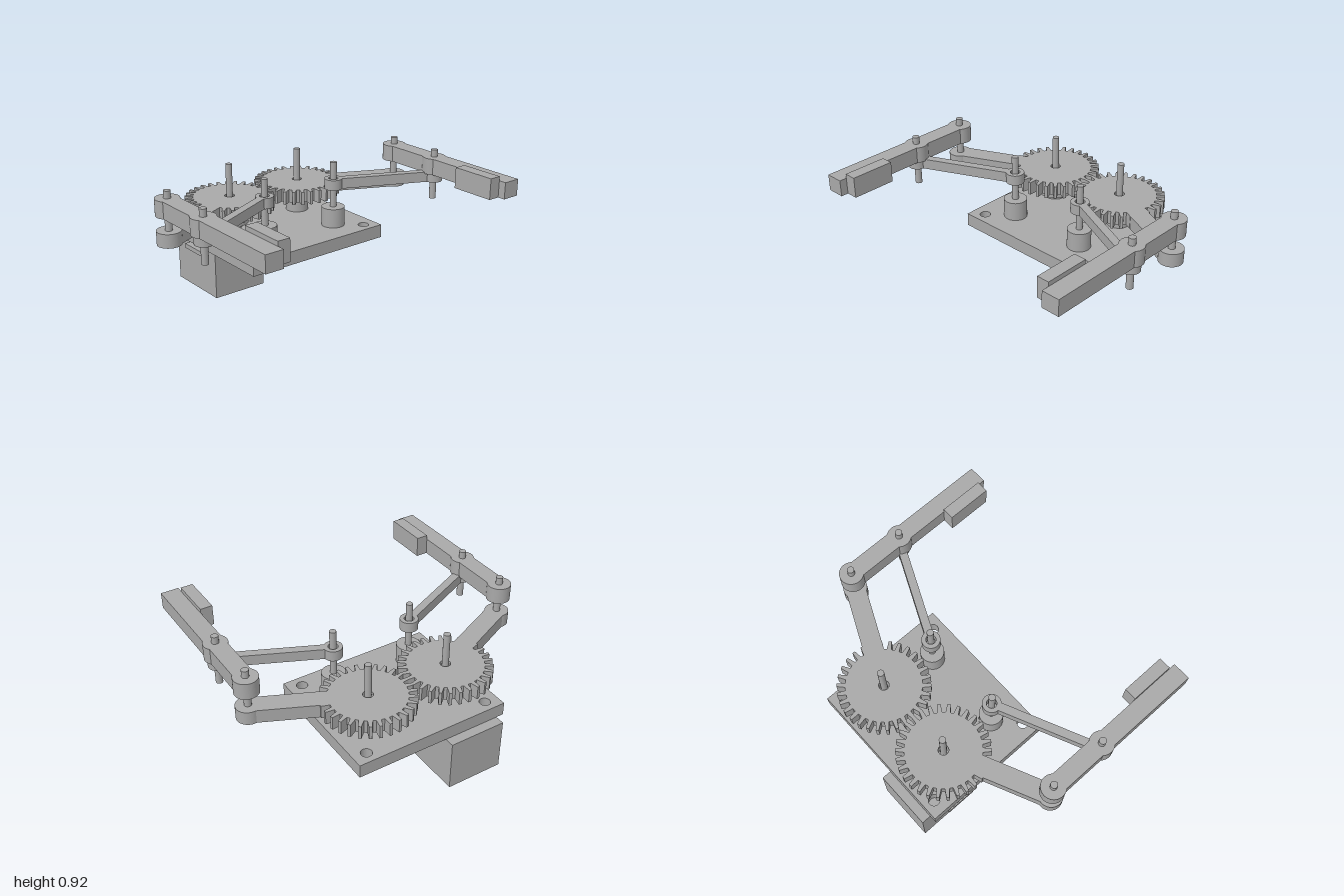
import * as THREE from 'three';

const grey = new THREE.MeshStandardMaterial({ color: 0xa8a8a8 });
grey.name = 'plain grey';

export function createModel() {
  const model = new THREE.Group();
  model.name = 'gripper';

  const add = (name, geometry, x = 0, y = 0, z = 0) => {
    const mesh = new THREE.Mesh(geometry, grey);
    mesh.name = name;
    mesh.position.set(x, y, z);
    model.add(mesh);
    return mesh;
  };
  const box = (name, x0, x1, y0, y1, z0, z1) =>
    add(name, new THREE.BoxGeometry(Math.abs(x1 - x0), y1 - y0, z1 - z0),
      (x0 + x1) / 2, (y0 + y1) / 2, (z0 + z1) / 2);
  const rod = (name, r, x, z, y0, y1, sides = 32) =>
    add(name, new THREE.CylinderGeometry(r, r, y1 - y0, sides), x, (y0 + y1) / 2, z);
  // Flat outline (x, -z) raised to a horizontal slab
  const slab = (shape, height) => new THREE.ExtrudeGeometry(shape,
    { depth: height, bevelEnabled: false, curveSegments: 24 }).rotateX(-Math.PI / 2);
  const hole = (shape, x, y, r) => {
    const path = new THREE.Path();
    path.absarc(x, y, r, 0, Math.PI * 2, true);
    shape.holes.push(path);
  };

  // Bar along +x with round eyes: r0 at the start, r1 at the end (0 = square), optional eye between
  const barShape = (length, h, r0, r1, mid) => {
    const s = new THREE.Shape();
    const PI = Math.PI;
    if (r0) s.absarc(0, 0, r0, Math.asin(h / r0), 2 * PI - Math.asin(h / r0), false);
    else { s.moveTo(0, h); s.lineTo(0, -h); }
    if (mid) {
      const a = Math.asin(h / mid.r);
      s.absarc(mid.d, 0, mid.r, PI + a, 2 * PI - a, false);
    }
    if (r1) {
      const a = Math.asin(h / r1);
      s.absarc(length, 0, r1, a - PI, PI - a, false);
    } else { s.lineTo(length, -h); s.lineTo(length, h); }
    if (mid) {
      const a = Math.asin(h / mid.r);
      s.absarc(mid.d, 0, mid.r, a, PI - a, false);
    }
    s.closePath();
    return s;
  };
  const bar = (name, shape, height, x, y, z, dx, dz) => {
    add(name, slab(shape, height), x, y, z).rotation.y = Math.atan2(-dz, dx);
  };

  // Spur gear with tapered teeth and a bore
  const gearShape = () => {
    const teeth = 30, pitch = Math.PI * 2 / teeth, points = [];
    for (let i = 0; i < teeth; i++) {
      for (const [r, k] of [[0.243, -0.3], [0.298, -0.15], [0.298, 0.15], [0.243, 0.3]]) {
        const a = (i + k) * pitch;
        points.push(new THREE.Vector2(r * Math.cos(a), r * Math.sin(a)));
      }
    }
    const s = new THREE.Shape(points);
    hole(s, 0, 0, 0.033);
    return s;
  };

  // Base plate with corner holes
  const plate = new THREE.Shape();
  plate.moveTo(-0.53, -0.105);
  plate.lineTo(0.53, -0.105);
  plate.lineTo(0.53, 0.802);
  plate.lineTo(-0.53, 0.802);
  plate.closePath();
  for (const x of [-0.437, 0.437]) {
    hole(plate, x, -0.028, 0.036);
    hole(plate, x, 0.727, 0.036);
  }
  add('basePlate', slab(plate, 0.09), 0, 0.35, 0);

  // Motor under the plate, with its mounting tab and drive hub
  box('motorBody', -0.48, -0.09, 0, 0.348, -0.865, -0.405);
  box('motorTab', -0.533, -0.037, 0.289, 0.32, -0.69, -0.487);
  rod('driveHub', 0.123, -0.283, -0.505, 0.475, 0.57);

  const inner = 0.283, outer = 0.925, gearZ = -0.505, pivotZ = -0.108, elbowZ = -0.208, linkZ = 0.187;
  for (const s of [-1, 1]) {
    const x = s * inner, xo = s * outer;

    // Bosses and upright pins on the plate
    for (const z of [gearZ, pivotZ]) {
      rod('boss', 0.078, x, z, 0.44, 0.57);
      rod('uprightPin', 0.022, x, z, 0.44, 0.88, 16);
    }

    // Gear and the arm growing out of it
    add('gear', slab(gearShape(), 0.09), x, 0.57, gearZ);
    const dx = xo - x, dz = elbowZ - gearZ, len = Math.hypot(dx, dz), start = 0.2;
    bar('gearArm', barShape(len - start, 0.065, 0, 0.078), 0.09,
      x + dx / len * start, 0.57, gearZ + dz / len * start, dx, dz);

    // Thin follower link
    const lz = linkZ - pivotZ;
    const link = barShape(Math.hypot(dx, lz), 0.027, 0.06, 0.06);
    hole(link, 0, 0, 0.032);
    bar('followerLink', link, 0.07, x, 0.697, pivotZ, dx, lz);

    // Finger, its pivot pins and grip pad
    bar('finger', barShape(0.865 - elbowZ, 0.06, 0.078, 0, { d: linkZ - elbowZ, r: 0.078 }),
      0.11, xo, 0.757, elbowZ, 0, 1);
    for (const z of [elbowZ, linkZ]) rod('pivotPin', 0.023, xo, z, 0.57, 0.915, 16);
    box('gripPad', s * 0.785, s * 0.866, 0.757, 0.896, 0.517, 0.815);
  }
  return model;
}
